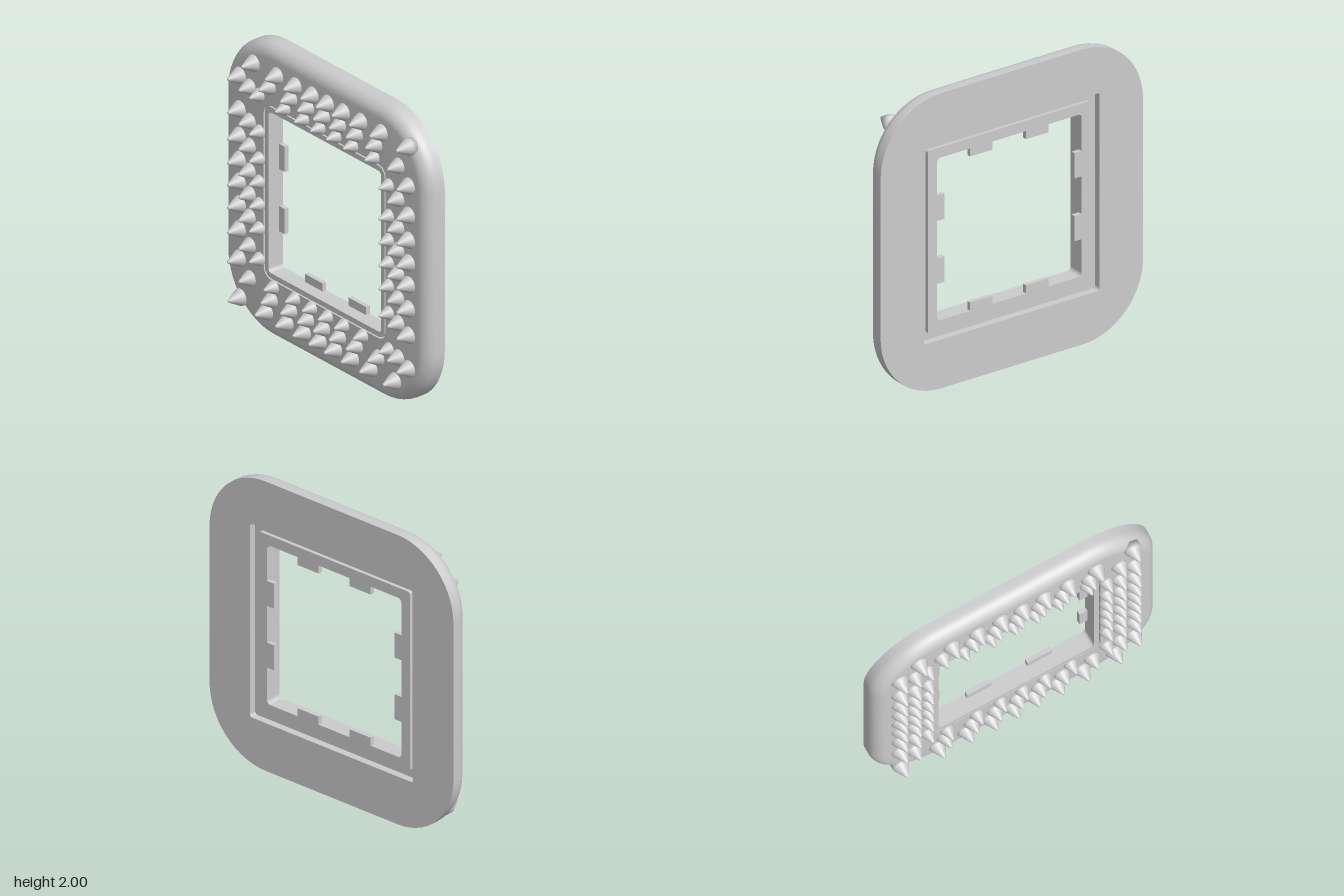
import * as THREE from 'three';
import { toCreasedNormals } from 'three/addons/utils/BufferGeometryUtils.js';

const CORNER_STEPS = 14;
const material = new THREE.MeshStandardMaterial({ color: 0xcccccc });

// Outline of a rounded square, counter-clockwise seen from the front
function roundedSquare(half, radius, z) {
  const points = [];
  for (let c = 0; c < 4; c++) {
    const mid = (c + 0.5) * Math.PI / 2;
    const cx = Math.sign(Math.cos(mid)) * (half - radius);
    const cy = Math.sign(Math.sin(mid)) * (half - radius);
    for (let s = 0; s <= CORNER_STEPS; s++) {
      const a = (c + s / CORNER_STEPS) * Math.PI / 2;
      points.push(cx + radius * Math.cos(a), cy + radius * Math.sin(a), z);
    }
  }
  return points;
}

// Closed ring skinned over a loop of sections [half size, corner radius, z]
function squareRing(sections) {
  const positions = sections.flatMap((s) => roundedSquare(s[0], s[1], s[2]));
  const n = 4 * (CORNER_STEPS + 1);
  const index = [];
  for (let i = 0; i < sections.length; i++) {
    const j = (i + 1) % sections.length;
    for (let k = 0; k < n; k++) {
      const l = (k + 1) % n;
      const a = i * n + k, b = i * n + l, c = j * n + l, d = j * n + k;
      index.push(a, b, c, a, c, d);
    }
  }
  const geometry = new THREE.BufferGeometry();
  geometry.setAttribute('position', new THREE.Float32BufferAttribute(positions, 3));
  geometry.setIndex(index);
  return toCreasedNormals(geometry, 0.5);
}

function add(parent, geometry, name, x = 0, y = 0, z = 0) {
  const mesh = new THREE.Mesh(geometry, material);
  mesh.name = name;
  mesh.position.set(x, y, z);
  parent.add(mesh);
  return mesh;
}

export function createModel() {
  const model = new THREE.Group();
  model.name = 'studdedFrame';
  const body = new THREE.Group();
  body.name = 'body';
  body.position.y = 1;
  model.add(body);

  // Cover plate: rounded front edge, square opening, recess in the back
  const plate = [[1, 0.46, -0.12]];
  const fillet = 0.09;
  for (let i = 0; i <= 8; i++) {
    const a = i / 8 * Math.PI / 2;
    const inset = fillet * (1 - Math.cos(a));
    plate.push([1 - inset, 0.46 - inset, 0.02 - fillet + fillet * Math.sin(a)]);
  }
  plate.push([0.595, 0.07, 0.02], [0.595, 0.07, -0.07], [0.67, 0.02, -0.07], [0.67, 0.02, -0.12]);
  add(body, squareRing(plate), 'coverPlate');

  // Inner frame: wall lining the opening, with a flange sitting in the recess
  add(body, squareRing([
    [0.62, 0.015, -0.095], [0.62, 0.015, -0.065], [0.585, 0.06, -0.065], [0.585, 0.06, 0.02],
    [0.55, 0.025, 0.02], [0.55, 0.025, -0.095],
  ]), 'innerFrame');

  // Two clip tabs on each inner side
  const tabGeometry = new THREE.BoxGeometry(0.172, 0.065, 0.03);
  for (let side = 0; side < 4; side++) {
    const tabs = new THREE.Group();
    tabs.name = 'clipTabs';
    tabs.rotation.z = side * Math.PI / 2;
    for (const x of [-0.213, 0.213]) add(tabs, tabGeometry, 'clipTab', x, 0.5275, -0.08);
    body.add(tabs);
  }

  // Blunt-tipped cone, pointing forward, its foot sunk into the plate
  const studGeometry = (radius, height) => {
    const profile = [
      [0, -0.03], [radius, -0.03], [radius, 0.005], [radius * 0.97, 0.012],
      [radius * 0.17, height * 0.95], [radius * 0.1, height * 0.985], [0, height],
    ].map(([r, h]) => new THREE.Vector2(r, h));
    return new THREE.LatheGeometry(profile, 24).rotateX(Math.PI / 2);
  };

  // Three rows of studs: positions along the top and along the right side
  const outer = [-0.69, -0.46, -0.28, -0.115, 0.035, 0.19, 0.36, 0.56];
  const rows = [
    { offset: 0.825, radius: 0.056, height: 0.1, top: [...outer, 0.82], right: outer },
    { offset: 0.725, radius: 0.053, height: 0.093,
      top: [-0.53, -0.32, -0.155, 0, 0.155, 0.32, 0.51],
      right: [-0.65, -0.415, -0.245, -0.075, 0.083, 0.24, 0.435, 0.66] },
    { offset: 0.632, radius: 0.045, height: 0.085,
      top: [-0.38, -0.195, -0.037, 0.118, 0.283, 0.492],
      right: [-0.63, -0.38, -0.195, -0.037, 0.118, 0.283, 0.492] },
  ];
  const studs = new THREE.Group();
  studs.name = 'studs';
  body.add(studs);
  for (const { offset, radius, height, top, right } of rows) {
    const geometry = studGeometry(radius, height);
    // The bottom and left sides are the top and right turned half a turn
    for (const sign of [1, -1]) {
      for (const t of top) add(studs, geometry, 'stud', sign * t, sign * offset, 0.02);
      for (const t of right) add(studs, geometry, 'stud', sign * offset, sign * t, 0.02);
    }
  }
  return model;
}
